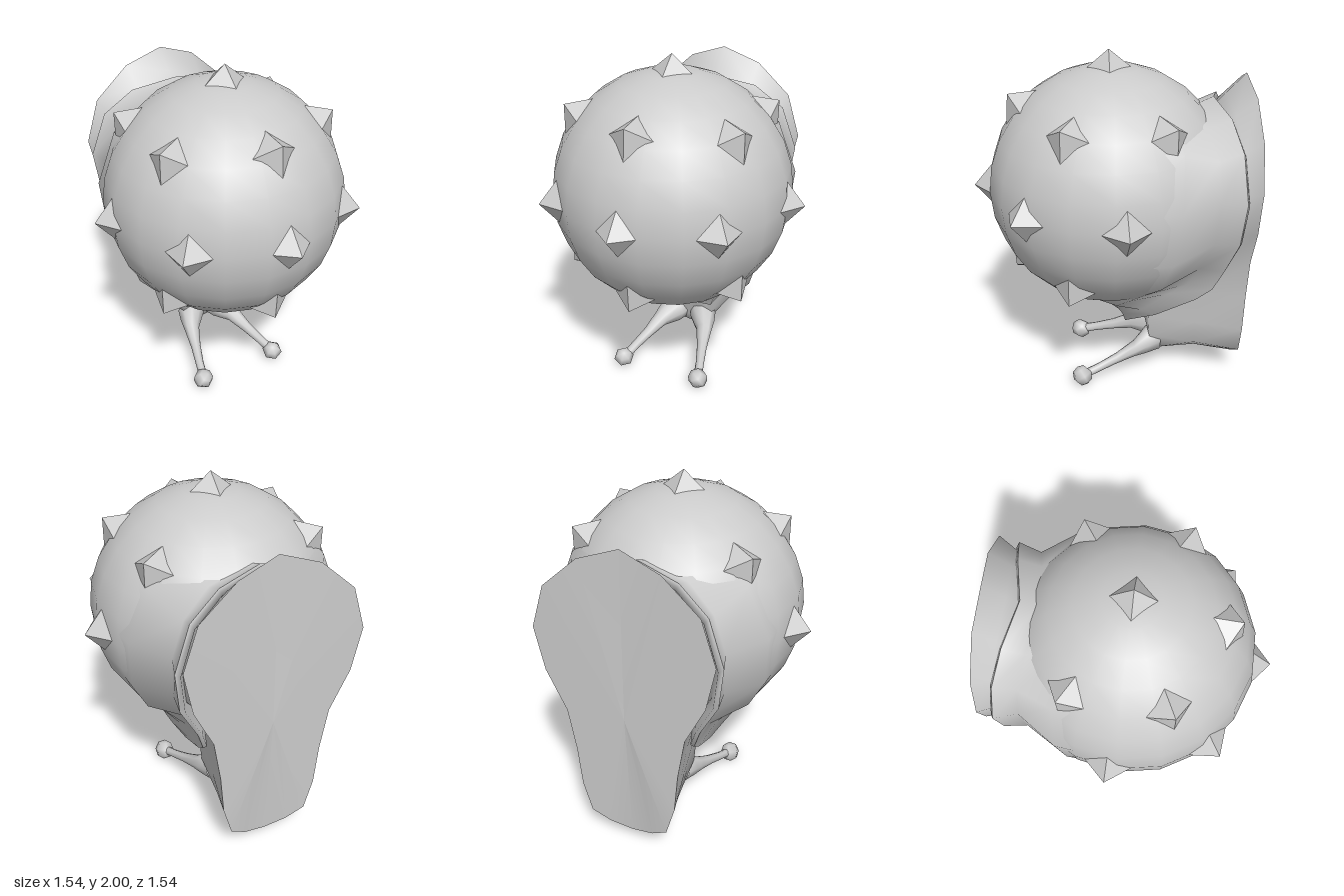
import * as THREE from 'three';

const material = new THREE.MeshStandardMaterial({ color: 0xcccccc });
const thin = new THREE.MeshStandardMaterial({ color: 0xcccccc, side: THREE.DoubleSide });
const CENTER = new THREE.Vector3(0, 1.23, 0);
const V = (p) => new THREE.Vector3(...p);

// Half an outline (top to bottom on +x) mirrored into a closed ring
function ring(half) {
  const pts = half.map(V);
  for (let i = half.length - 2; i > 0; i--) pts.push(V([-half[i][0], half[i][1], half[i][2]]));
  return pts;
}

// Skin between rings that run from front to back
function loft(rings) {
  const n = rings[0].length;
  const index = [];
  for (let j = 0; j < rings.length - 1; j++) {
    for (let i = 0; i < n; i++) {
      const a = j * n + i, b = j * n + (i + 1) % n;
      index.push(a, b, a + n, b, b + n, a + n);
    }
  }
  const geo = new THREE.BufferGeometry().setFromPoints(rings.flat());
  geo.setIndex(index);
  geo.computeVertexNormals();
  return geo;
}

const collapse = (r, p) => r.map(() => V(p));
const blend = (a, b, t) => a.map((p, i) => p.clone().lerp(b[i], t));

function add(parent, name, geo, mat = material) {
  const mesh = new THREE.Mesh(geo, mat);
  mesh.name = name;
  parent.add(mesh);
  return mesh;
}

export function createModel() {
  const model = new THREE.Group();
  model.name = 'snail';

  // Round shell
  add(model, 'shell', new THREE.SphereGeometry(0.685, 18, 14)).position.copy(CENTER);

  // Flared shell mouth
  const shoulder = ring([
    [0, 1.79, -0.28], [0.28, 1.74, -0.3], [0.5, 1.58, -0.35], [0.62, 1.3, -0.34], [0.6, 1.0, -0.3], [0.5, 0.8, -0.25],
    [0.42, 0.72, -0.17], [0.4, 0.67, -0.08], [0.36, 0.62, -0.02], [0.24, 0.58, 0], [0, 0.56, 0]]);
  const neck = ring([
    [0, 1.69, -0.48], [0.25, 1.63, -0.51], [0.4, 1.5, -0.55], [0.47, 1.3, -0.56], [0.46, 1.05, -0.54], [0.38, 0.86, -0.48],
    [0.34, 0.74, -0.42], [0.34, 0.68, -0.32], [0.33, 0.57, -0.16], [0.25, 0.5, -0.06], [0, 0.48, -0.05]]);
  const rim = ring([
    [0, 1.73, -0.57], [0.25, 1.68, -0.63], [0.42, 1.55, -0.67], [0.51, 1.3, -0.69], [0.48, 1.05, -0.67], [0.36, 0.82, -0.62],
    [0.31, 0.68, -0.57], [0.3, 0.61, -0.48], [0.28, 0.5, -0.25], [0.22, 0.43, -0.08], [0, 0.42, -0.08]]);
  const root = shoulder.map((p) => p.clone().sub(CENTER).add(V([0, 0, 0.3])).setLength(0.66).add(CENTER));
  const shrink = (s, dz) => rim.map((p) => V([p.x * s, 1.05 + (p.y - 1.05) * s, p.z + dz]));
  add(model, 'shellMouth', loft([root, shoulder, neck, rim]), thin);
  add(model, 'shellLip', loft([rim, shrink(0.95, -0.015), shrink(0.85, 0.08)]), thin);

  // Four-sided spikes around the shell
  const spikes = new THREE.Group();
  spikes.name = 'spikes';
  model.add(spikes);
  const tips = [[0, 0, 1], [0, 1, 0.01], [0, 0.54, 0.57], [0, -0.54, 0.57]];
  for (const s of [1, -1]) {
    tips.push([s, 0, -0.08], [s * 0.57, 0, 0.55], [s * 0.54, 0.51, 0.28], [s * 0.53, 0.51, -0.33], [s * 0.54, -0.5, 0.25]);
  }
  const spikeGeo = new THREE.ConeGeometry(0.24, 0.2, 4, 1).toNonIndexed();
  spikeGeo.computeVertexNormals();
  spikeGeo.translate(0, 0.67, 0).rotateX(Math.PI / 2);
  for (const tip of tips) {
    const spike = add(spikes, 'spike', spikeGeo);
    spike.position.copy(CENTER);
    spike.lookAt(V(tip).add(CENTER));
  }

  // Body from the head back to the flat sole
  const head = ring([
    [0, 1.64, -0.53], [0.22, 1.58, -0.55], [0.37, 1.48, -0.59], [0.45, 1.3, -0.61], [0.42, 1.05, -0.59], [0.3, 0.85, -0.48],
    [0.22, 0.62, -0.28], [0.18, 0.43, -0.22], [0.17, 0.28, -0.23], [0.12, 0.16, -0.28], [0, 0.14, -0.28]]);
  const sole = ring([
    [0, 1.86, -0.745], [0.22, 1.78, -0.765], [0.42, 1.6, -0.77], [0.5, 1.35, -0.77], [0.45, 1.1, -0.77], [0.34, 0.87, -0.77],
    [0.3, 0.62, -0.77], [0.28, 0.38, -0.77], [0.23, 0.2, -0.77], [0.13, 0.13, -0.745], [0, 0.1, -0.73]]);
  const middle = blend(head, sole, 0.5);
  middle.forEach((p) => { p.x *= 0.96; if (p.y < 0.2) p.y += 0.03; });
  const face = collapse(head, [0, 0.42, -0.19]);
  add(model, 'body', loft([face, blend(face, head, 0.8), head, middle, sole]));
  add(model, 'sole', loft([sole, collapse(sole, [0, 0.9, -0.77])]));

  // Eye stalks with knobs, listed from tip to root: x, y, z, radius
  const stalk = [[0.25, 0.065, 0.17, 0.028], [0.225, 0.095, 0.08, 0.027], [0.19, 0.135, -0.03, 0.033],
    [0.155, 0.18, -0.14, 0.05], [0.11, 0.215, -0.22, 0.085], [0.08, 0.23, -0.3, 0.09]];
  for (const side of [1, -1]) {
    const eye = new THREE.Group();
    eye.name = side > 0 ? 'leftEyeStalk' : 'rightEyeStalk';
    model.add(eye);
    const rings = stalk.map(([x, y, z, r]) => Array.from({ length: 8 }, (_, i) => {
      const a = i * Math.PI / 4;
      return V([side * x + r * Math.sin(a), y + r * Math.cos(a), z]);
    }));
    add(eye, 'stalk', loft(rings));
    const knob = add(eye, 'knob', new THREE.SphereGeometry(0.062, 6, 4));
    knob.position.set(side * 0.255, 0.062, 0.18);
    knob.rotation.set(0.4, side * 0.4, side * 0.3);
  }
  return model;
}
